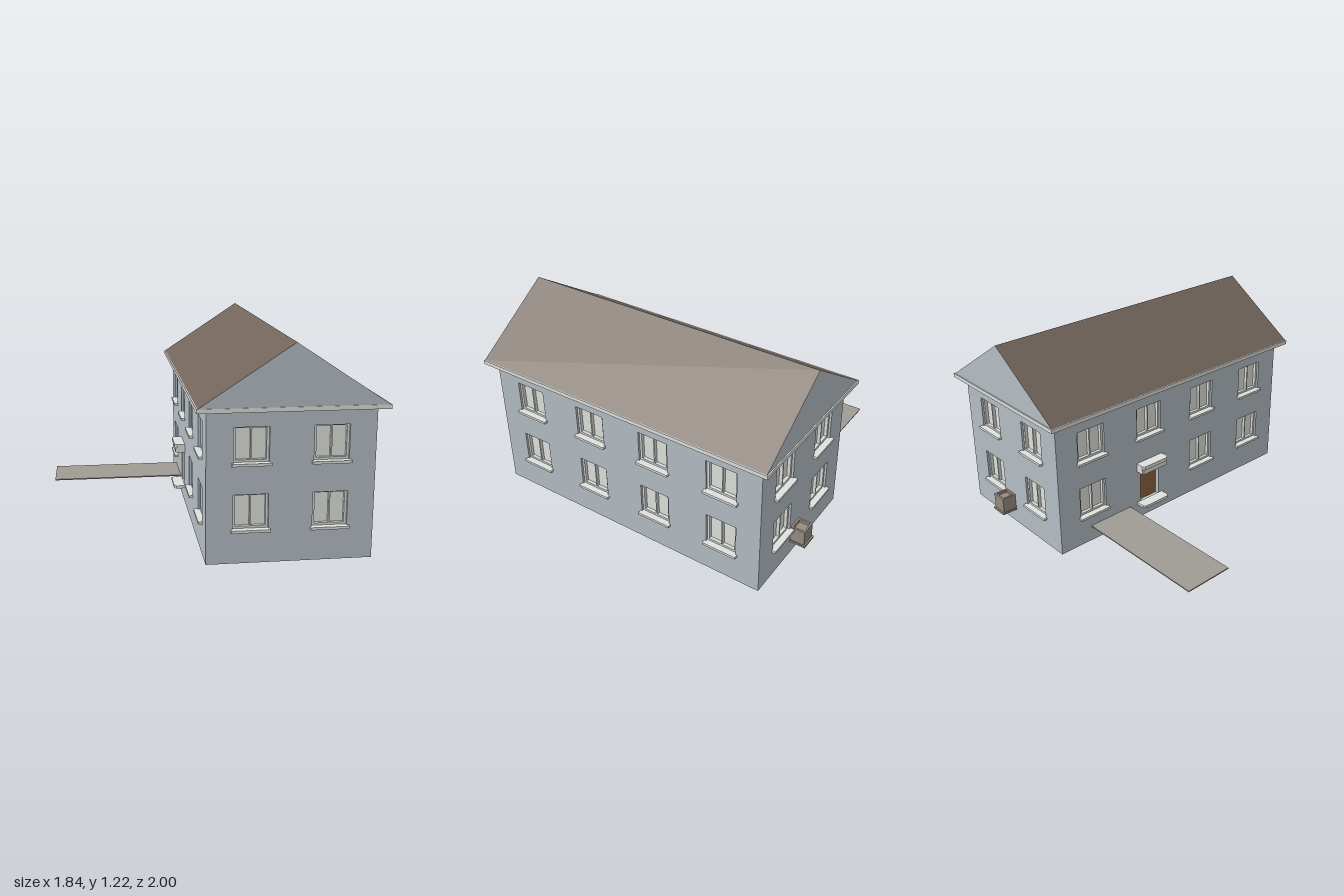
import * as THREE from 'three';

const mat = (name, color) => {
  const m = new THREE.MeshStandardMaterial({ color });
  m.name = name;
  return m;
};

export function createModel() {
  const wallBlue = mat('wall blue grey', 0xb5bec5);
  const trim = mat('trim light grey', 0xdee1dd);
  const frameGrey = mat('window frame grey', 0xd6dad7);
  const pane = mat('pane grey', 0xe0e2dc);
  const roofBrown = mat('roof brown', 0x71645a);
  const floorBrown = mat('floor brown', 0x86644f);
  const doorBrown = mat('door brown', 0x8c6240);
  const rampGrey = mat('ramp grey', 0x9f9c95);
  const boxTaupe = mat('box taupe', 0x968c82);

  const model = new THREE.Group();
  model.name = 'house';

  const add = (parent, name, geometry, material) => {
    const m = new THREE.Mesh(geometry, material);
    m.name = name;
    parent.add(m);
    return m;
  };
  // Box given by its limits on each axis
  const box = (parent, name, material, x0, x1, y0, y1, z0, z1) => {
    const m = add(parent, name, new THREE.BoxGeometry(x1 - x0, y1 - y0, z1 - z0), material);
    m.position.set((x0 + x1) / 2, (y0 + y1) / 2, (z0 + z1) / 2);
    return m;
  };
  const polygon = (points) => new THREE.Shape(points.map(([x, y]) => new THREE.Vector2(x, y)));
  const rect = (x0, x1, y0, y1) => polygon([[x0, y0], [x1, y0], [x1, y1], [x0, y1]]);
  const extrude = (shape, depth) => new THREE.ExtrudeGeometry(shape, { depth, bevelEnabled: false });
  // Horizontal slab from a plan drawn in x and -z
  const slab = (name, plan, y0, y1, material) => {
    const m = add(model, name, extrude(plan, y1 - y0), material);
    m.rotation.x = -Math.PI / 2;
    m.position.y = y0;
  };

  const WALL_TOP = 0.878, THICK = 0.045;
  const X0 = -0.067, X1 = 0.859, Z0 = -0.9, Z1 = 0.94;
  const CX = (X0 + X1) / 2, CZ = (Z0 + Z1) / 2;
  const W = 0.097, H = 0.21;

  // Double casement with recessed panes and a projecting sill
  function addWindow(parent, x, y) {
    const g = new THREE.Group();
    g.name = 'window';
    g.position.set(x, y, 0);
    parent.add(g);
    const frame = rect(-W, W, 0, H);
    for (const s of [-1, 1]) {
      const a = s * 0.004, b = s * 0.083;
      const x0 = Math.min(a, b), x1 = Math.max(a, b);
      frame.holes.push(rect(x0, x1, 0.028, 0.203));
      box(g, 'windowPane', pane, x0, x1, 0.028, 0.203, -0.042, -0.034);
    }
    add(g, 'windowFrame', extrude(frame, 0.026), frameGrey).position.z = -0.04;
    box(g, 'windowSill', trim, -0.108, 0.108, 0, 0.015, -0.03, 0.024);
  }

  // Wall panel: x along the wall, outer face at z = 0
  function addWall(name, length, offsets, doorIndex, px, pz, turn) {
    const g = new THREE.Group();
    g.name = name;
    g.position.set(px, 0, pz);
    g.rotation.y = turn;
    model.add(g);
    const shape = rect(-length / 2, length / 2, 0, WALL_TOP);
    offsets.forEach((x, i) => {
      for (const y of [0.181, 0.554]) {
        if (i === doorIndex && y < 0.3) {
          shape.holes.push(rect(x - 0.075, x + 0.075, 0.105, 0.345));
          box(g, 'door', doorBrown, x - 0.075, x + 0.075, 0.105, 0.345, -0.04, -0.028);
        } else {
          shape.holes.push(rect(x - W, x + W, y, y + H));
          addWindow(g, x, y);
        }
      }
    });
    add(g, 'wallPanel', extrude(shape, THICK), wallBlue).position.z = -THICK;
  }
  const short = [-0.2185, 0.2185], long = [-0.672, -0.224, 0.224, 0.672];
  addWall('frontWall', X1 - X0, short, -1, CX, Z1, 0);
  addWall('backWall', X1 - X0, short, -1, CX, Z0, Math.PI);
  addWall('leftWall', Z1 - Z0, long, -1, X1, CZ, Math.PI / 2);
  addWall('rightWall', Z1 - Z0, long, 1, X0, CZ, -Math.PI / 2);

  // Raised floor, open underneath
  box(model, 'floor', floorBrown, X0 + 0.04, X1 - 0.04, 0.09, 0.1, Z0 + 0.04, Z1 - 0.04);

  // Eaves rim around a gabled roof
  const rim = rect(-0.124, 0.915, -0.997, 0.957);
  rim.holes.push(rect(-0.112, 0.903, -0.985, 0.945));
  slab('eaves', rim, 0.855, 0.879, trim);
  const gable = polygon([[-0.119, 0.878], [0.91, 0.878], [0.3955, 1.217]]);
  add(model, 'roof', extrude(gable, 1.944), [wallBlue, roofBrown]).position.z = -0.95;

  // Entrance step, ramp and canopy
  const porchPlan = (x) => polygon([
    [X0, 0.1], [X0, 0.307], [x + 0.015, 0.307], [x, 0.292], [x, 0.115], [x + 0.015, 0.1],
  ].reverse());
  slab('entranceStep', porchPlan(-0.137), 0.095, 0.113, trim);
  slab('canopyTop', porchPlan(-0.133), 0.37, 0.394, trim);
  const cheek = polygon([[X0, 0.338], [-0.118, 0.338], [-0.118, 0.372], [X0, 0.372]]);
  for (const z of [-0.307, -0.112]) {
    add(model, 'canopyCheek', extrude(cheek, 0.012), trim).position.z = z;
  }
  box(model, 'canopyLip', trim, -0.127, -0.117, 0.338, 0.372, -0.3, -0.107);
  box(model, 'ramp', rampGrey, -0.92, X0, 0.097, 0.104, -0.675, -0.365);

  // Open box on the back wall
  const bin = new THREE.Group();
  bin.name = 'wallBox';
  model.add(bin);
  box(bin, 'boxBase', boxTaupe, 0.403, 0.513, 0.095, 0.107, -1, Z0);
  box(bin, 'boxBody', boxTaupe, 0.41, 0.506, 0.107, 0.185, -0.99, Z0);
  for (const x of [0.41, 0.494]) box(bin, 'boxSideRim', boxTaupe, x, x + 0.012, 0.185, 0.203, -0.99, Z0);
  for (const z of [-0.99, -0.912]) box(bin, 'boxEndRim', boxTaupe, 0.422, 0.494, 0.185, 0.203, z, z + 0.012);

  return model;
}
